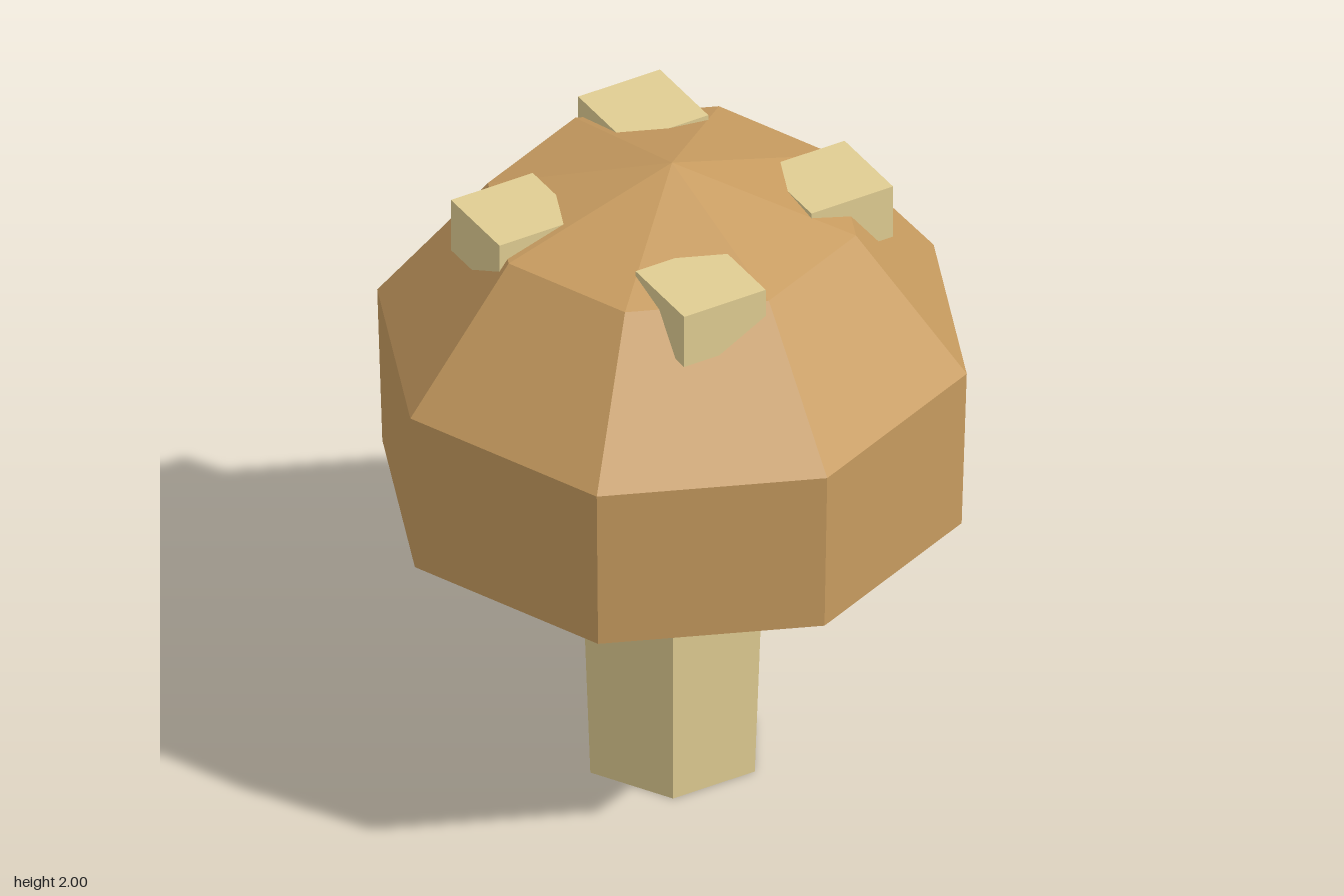
import * as THREE from 'three';

export function createModel() {
  const group = new THREE.Group();
  group.name = 'mushroom';

  const brown = new THREE.MeshStandardMaterial({ color: 0xc89c60, flatShading: true });
  brown.name = 'capBrown';
  const cream = new THREE.MeshStandardMaterial({ color: 0xe0cd92, flatShading: true });
  cream.name = 'stemCream';

  const add = (name, geometry, material, x, y, z) => {
    const mesh = new THREE.Mesh(geometry, material);
    mesh.name = name;
    mesh.position.set(x, y, z);
    group.add(mesh);
  };

  // Six-sided stem, widening upwards into the cap
  add('stem', new THREE.CylinderGeometry(0.305, 0.27, 0.92, 6, 1, false, Math.PI / 6), cream, 0, 0.46, 0);

  // Eight-sided faceted cap with a flat underside
  const profile = [[0, 0.905], [0.85, 0.905], [0.865, 1.42], [0.54, 1.84], [0, 2]]
    .map(([r, y]) => new THREE.Vector2(r, y));
  add('cap', new THREE.LatheGeometry(profile, 8), brown, 0, 0, 0);

  // Four square spots set in a pinwheel around the top
  const spot = new THREE.BoxGeometry(0.27, 0.172, 0.27);
  let x = -0.156, z = 0.423;
  for (let i = 0; i < 4; i++) {
    add('spot' + (i + 1), spot, cream, x, 1.809, z);
    [x, z] = [z, -x];
  }

  return group;
}
